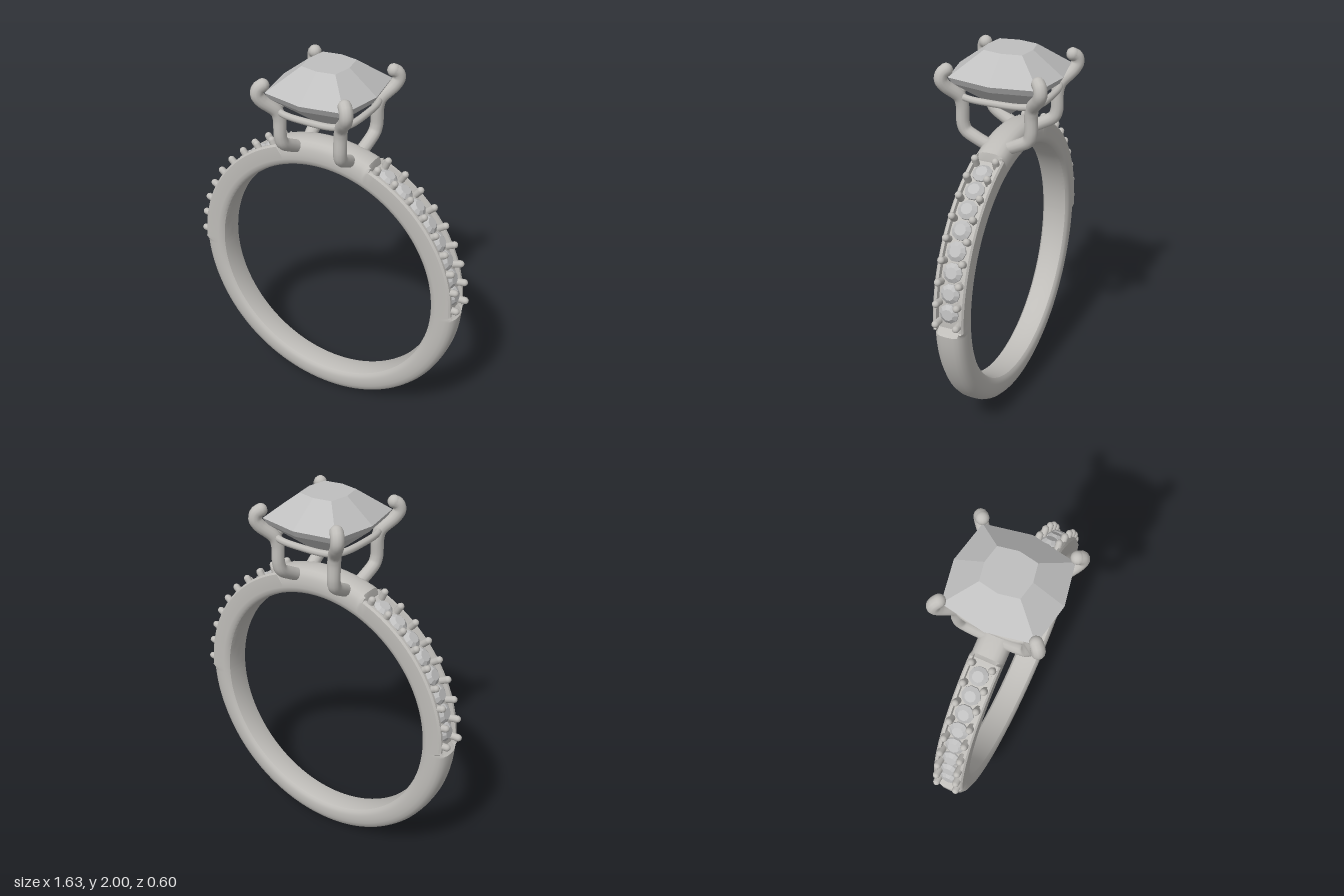
import * as THREE from 'three';
import { toCreasedNormals } from 'three/addons/utils/BufferGeometryUtils.js';

const metal = new THREE.MeshStandardMaterial({ color: 0xbfbdb9 });
metal.name = 'polished metal';
const stone = new THREE.MeshStandardMaterial({ color: 0xbfbfbf });
stone.name = 'clear stone';

const CENTER = 0.785; // height of the band's centre
const V = (x, y, z) => new THREE.Vector3(x, y, z);

function add(parent, name, geometry, material) {
  const mesh = new THREE.Mesh(geometry, material);
  mesh.name = name;
  parent.add(mesh);
  return mesh;
}

// Skin a list of equally sized closed loops
function loft(rings, wrap, crease) {
  const n = rings[0].length, index = [];
  const rows = wrap ? rings.length : rings.length - 1;
  for (let i = 0; i < rows; i++) {
    const k = (i + 1) % rings.length;
    for (let j = 0; j < n; j++) {
      const a = i * n + j, b = k * n + j, c = i * n + (j + 1) % n, d = k * n + (j + 1) % n;
      index.push(a, b, c, b, d, c);
    }
  }
  const g = new THREE.BufferGeometry().setFromPoints(rings.flat());
  g.setIndex(index);
  return toCreasedNormals(g, crease);
}

// Half sections of the band as [radius, z], from outer centre to inner centre
const inside = [[0.69, 1], [0.67, 0.94], [0.657, 0.8], [0.651, 0.5], [0.65, 0]];
const plain = [[0.785, 0], [0.783, 0.4], [0.775, 0.66], [0.76, 0.85], [0.738, 0.96], [0.715, 1], ...inside];
const pave = [[0.752, 0], [0.752, 0.35], [0.752, 0.7], [0.774, 0.74], [0.774, 0.9], [0.764, 1], ...inside];

function bandRing(deg) {
  const up = Math.sin(THREE.MathUtils.degToRad(deg));
  const elev = Math.asin(up) * 180 / Math.PI; // angle above horizontal
  const half = elev > -1 && elev < 69.5 ? pave : plain;
  const w = 0.083 + 0.006 * Math.min(up, 0.3);
  const lift = elev > 69 ? 0.01 : elev < 0 && elev > -25 ? 0.006 * (1 + elev / 25) : 0;
  const section = half.map(([r, z], i) => [r + (i < 5 ? lift : 0), z * w]);
  const other = section.slice(1, -1).reverse().map(([r, z]) => [r, -z]);
  const a = THREE.MathUtils.degToRad(deg);
  return [...section, ...other].map(([r, z]) => V(r * Math.cos(a), CENTER + r * Math.sin(a), z));
}

function makeBand() {
  const angles = [];
  for (let d = 0; d < 360; d += 3) angles.push(d);
  angles.push(-2.2 + 360, -0.5 + 360, 180.5, 182.2, 68.7, 70.3, 109.7, 111.3);
  angles.sort((a, b) => a - b);
  return loft(angles.map(bandRing), true, 0.6);
}

// Small accent stones and the beads that hold them, on one shoulder
function makeShoulder(side) {
  const group = new THREE.Group();
  group.name = side > 0 ? 'leftShoulder' : 'rightShoulder';
  const stoneGeo = toCreasedNormals(new THREE.LatheGeometry(
    [[0.051, -0.015], [0.051, 0.003], [0.03, 0.02], [0, 0.02]].map(([x, y]) => new THREE.Vector2(x, y)), 10), 0.2);
  const beadGeo = new THREE.CapsuleGeometry(0.019, 0.045, 4, 10);
  const place = (mesh, deg, r, z) => {
    const a = THREE.MathUtils.degToRad(side > 0 ? deg : 180 - deg);
    mesh.position.set(r * Math.cos(a), CENTER + r * Math.sin(a), z);
    mesh.rotation.z = a - Math.PI / 2;
  };
  for (let i = 0; i < 9; i++) {
    const deg = 2.6 + 8 * i;
    for (const z of [-0.056, 0.056]) place(add(group, 'bead', beadGeo, metal), deg, 0.772, z);
    if (i < 8) place(add(group, 'accentStone', stoneGeo, stone), deg + 4, 0.757, 0);
  }
  return group;
}

// Eight-sided cushion outline scaled by s at height y
function cushion(s, y) {
  const mx = 0.27 * s, mz = 0.283 * s, cx = 0.225 * s, cz = 0.24 * s;
  return [[mx, 0], [cx, cz], [0, mz], [-cx, cz], [-mx, 0], [-cx, -cz], [0, -mz], [cx, -cz]]
    .map(([x, z]) => V(x, y, z));
}

function makeProng(sx, sz) {
  const group = new THREE.Group();
  group.name = 'prong';
  const pts = [[0.155, 1.52, 0.05], [0.163, 1.55, 0.11], [0.17, 1.59, 0.172], [0.174, 1.63, 0.186],
    [0.177, 1.73, 0.187], [0.187, 1.775, 0.197], [0.238, 1.84, 0.25], [0.253, 1.875, 0.265],
    [0.248, 1.907, 0.26], [0.232, 1.922, 0.244]].map(([x, y, z]) => V(x * sx, y, z * sz));
  add(group, 'prongWire', new THREE.TubeGeometry(new THREE.CatmullRomCurve3(pts), 48, 0.034, 12), metal);
  for (const p of [pts[0], pts[pts.length - 1]]) {
    add(group, 'prongEnd', new THREE.SphereGeometry(0.034, 12, 10), metal).position.copy(p);
  }
  return group;
}

export function createModel() {
  const model = new THREE.Group();
  model.name = 'ring';
  add(model, 'band', makeBand(), metal);
  model.add(makeShoulder(1), makeShoulder(-1));

  // Main stone: culet, pavilion, girdle, crown and table
  const levels = [[0, 1.64], [0.52, 1.755], [0.93, 1.845], [1, 1.88], [0.43, 2], [0, 2]];
  add(model, 'mainStone', loft(levels.map(([s, y]) => cushion(s, y)), false, 0.01), stone);

  // Setting: four prongs joined by a gallery wire
  for (const sx of [-1, 1]) for (const sz of [-1, 1]) model.add(makeProng(sx, sz));
  const wire = new THREE.CatmullRomCurve3(cushion(0.79, 1.775), true);
  add(model, 'galleryWire', new THREE.TubeGeometry(wire, 64, 0.018, 8, true), metal);
  return model;
}
